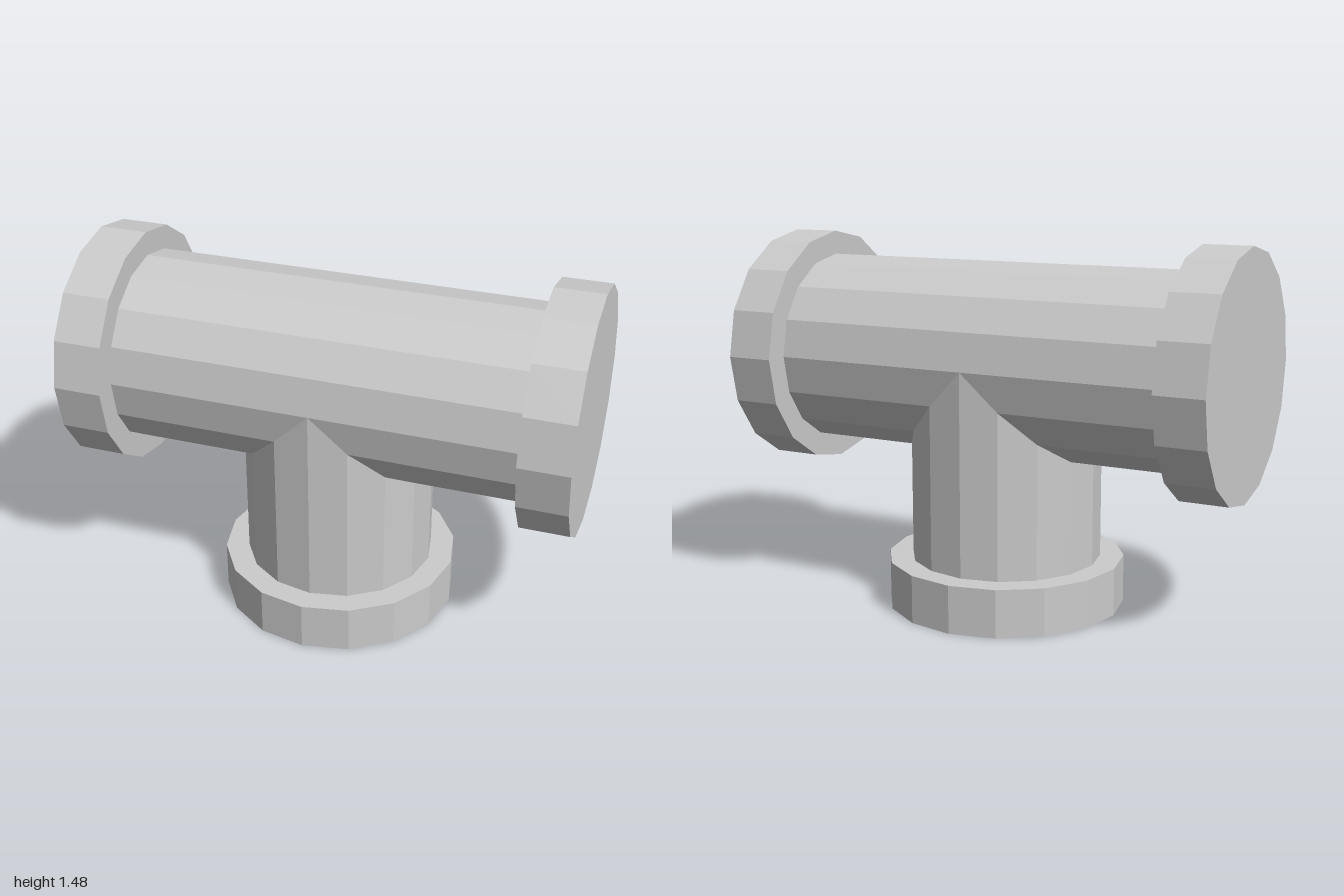
import * as THREE from 'three';

const SIDES = 16;
const AXIS_Y = 1;        // height of the main pipe's axis
const PIPE_R = 0.385;
const COLLAR_R = 0.481;
const COLLAR_W = 0.193;

export function createModel() {
  const model = new THREE.Group();
  model.name = 'pipeTee';
  const material = new THREE.MeshStandardMaterial({ color: 0xcccccc, flatShading: true });

  const add = (name, geometry, x, y) => {
    const mesh = new THREE.Mesh(geometry, material);
    mesh.name = name;
    mesh.position.set(x, y, 0);
    model.add(mesh);
    return mesh;
  };
  const cylinder = (radius, length, open) =>
    new THREE.CylinderGeometry(radius, radius, length, SIDES, 1, open);

  // Main pipe running along x between the side collars
  const runLength = 2 * (1 - COLLAR_W);
  add('mainPipe', cylinder(PIPE_R, runLength, true).rotateZ(Math.PI / 2), 0, AXIS_Y);

  // Branch pipe, its top ring mitred to meet the main pipe
  const branch = cylinder(PIPE_R, 1, true).translate(0, 0.5, 0);
  const pos = branch.attributes.position;
  for (let i = 0; i < pos.count; i++) {
    const top = pos.getY(i) > 0.5;
    pos.setY(i, top ? AXIS_Y - Math.abs(pos.getX(i)) : COLLAR_W);
  }
  branch.computeVertexNormals();
  add('branchPipe', branch, 0, 0);

  // Closed collars on the three ends
  for (const [name, side] of [['leftCollar', 1], ['rightCollar', -1]]) {
    const collar = cylinder(COLLAR_R, COLLAR_W, false).rotateZ(Math.PI / 2);
    add(name, collar, side * (1 - COLLAR_W / 2), AXIS_Y);
  }
  add('bottomCollar', cylinder(COLLAR_R, COLLAR_W, false), 0, COLLAR_W / 2);

  return model;
}
